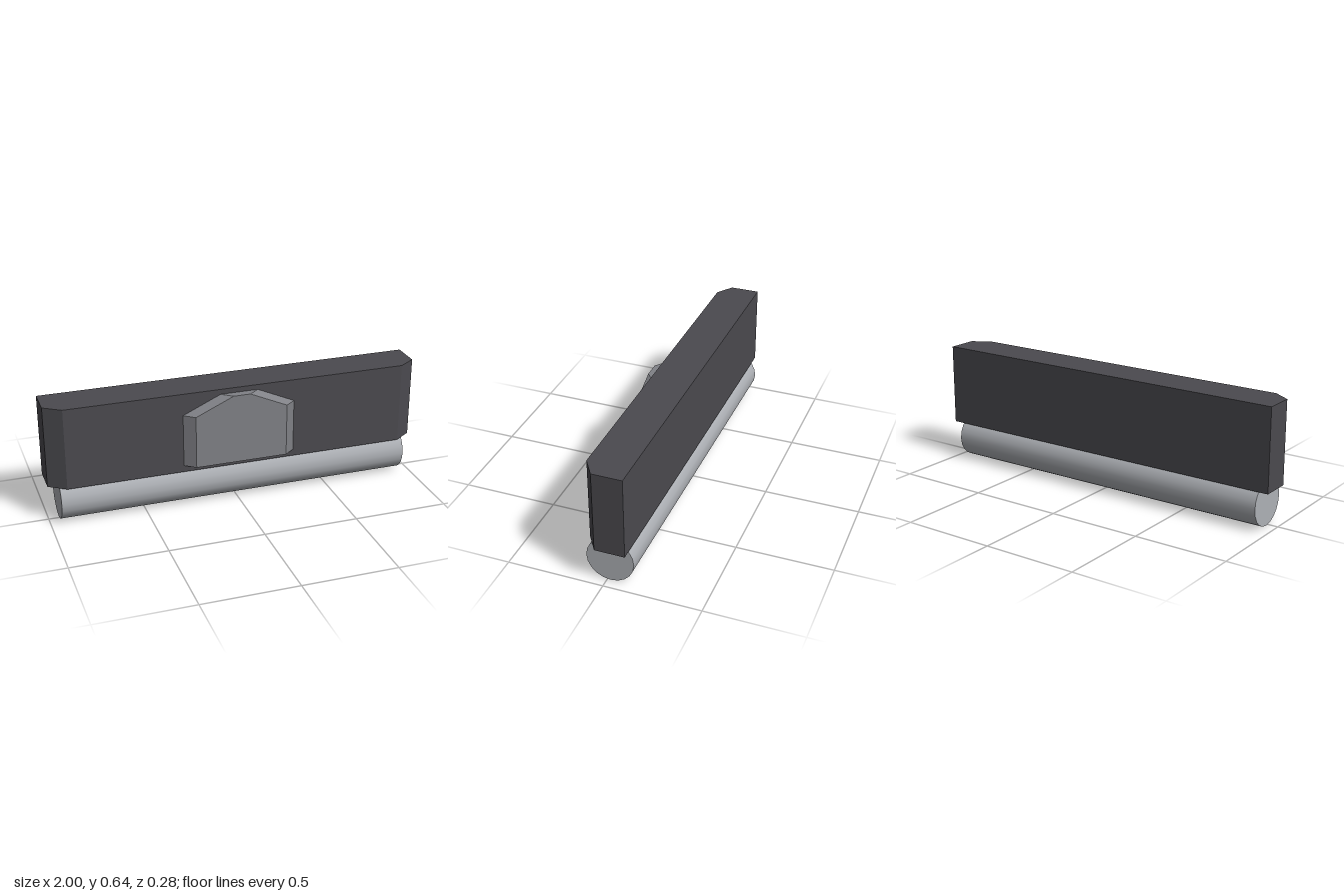
import * as THREE from 'three';

const shapeOf = (pts) => new THREE.Shape(pts.map(([x, y]) => new THREE.Vector2(x, y)));

function material(name, color) {
  const m = new THREE.MeshStandardMaterial({ color });
  m.name = name;
  return m;
}

export function createModel() {
  const darkGrey = material('darkGrey', 0x4b4a4f);
  const midGrey = material('midGrey', 0x808186);
  const lightGrey = material('lightGrey', 0xaeb1b6);

  const group = new THREE.Group();
  const add = (name, geometry, mat) => {
    const mesh = new THREE.Mesh(geometry, mat);
    mesh.name = name;
    group.add(mesh);
    return mesh;
  };

  // Long block: plan outline with chamfered front corners, drawn with y = -z and extruded upwards
  const body = new THREE.ExtrudeGeometry(
    shapeOf([[-0.91, -0.097], [0.91, -0.097], [1, -0.037], [1, 0.118], [-1, 0.118], [-1, -0.037]]),
    { depth: 0.435, bevelEnabled: false }
  );
  body.rotateX(-Math.PI / 2);
  body.translate(0, 0.207, 0);
  add('body', body, darkGrey);

  // Round bar under the block, partly sunk into it
  const bar = new THREE.CylinderGeometry(0.122, 0.122, 1.89, 20);
  bar.rotateZ(Math.PI / 2);
  bar.translate(0, 0.123, -0.017);
  add('roller', bar, lightGrey);

  // Raised front plate: its front outline is drawn in sideways so the flanks slope
  const plate = new THREE.ExtrudeGeometry(
    shapeOf([[-0.3, 0.243], [0.3, 0.243], [0.3, 0.525], [0.1, 0.615], [-0.1, 0.615], [-0.3, 0.525]]),
    { depth: 0.044, bevelEnabled: false }
  );
  const p = plate.attributes.position;
  for (let i = 0; i < p.count; i++) {
    if (p.getZ(i) > 0.02) p.setX(i, p.getX(i) - Math.sign(p.getX(i)) * 0.055);
  }
  plate.translate(0, 0, 0.097);
  plate.computeVertexNormals();
  add('frontPlate', plate, midGrey);

  return group;
}
